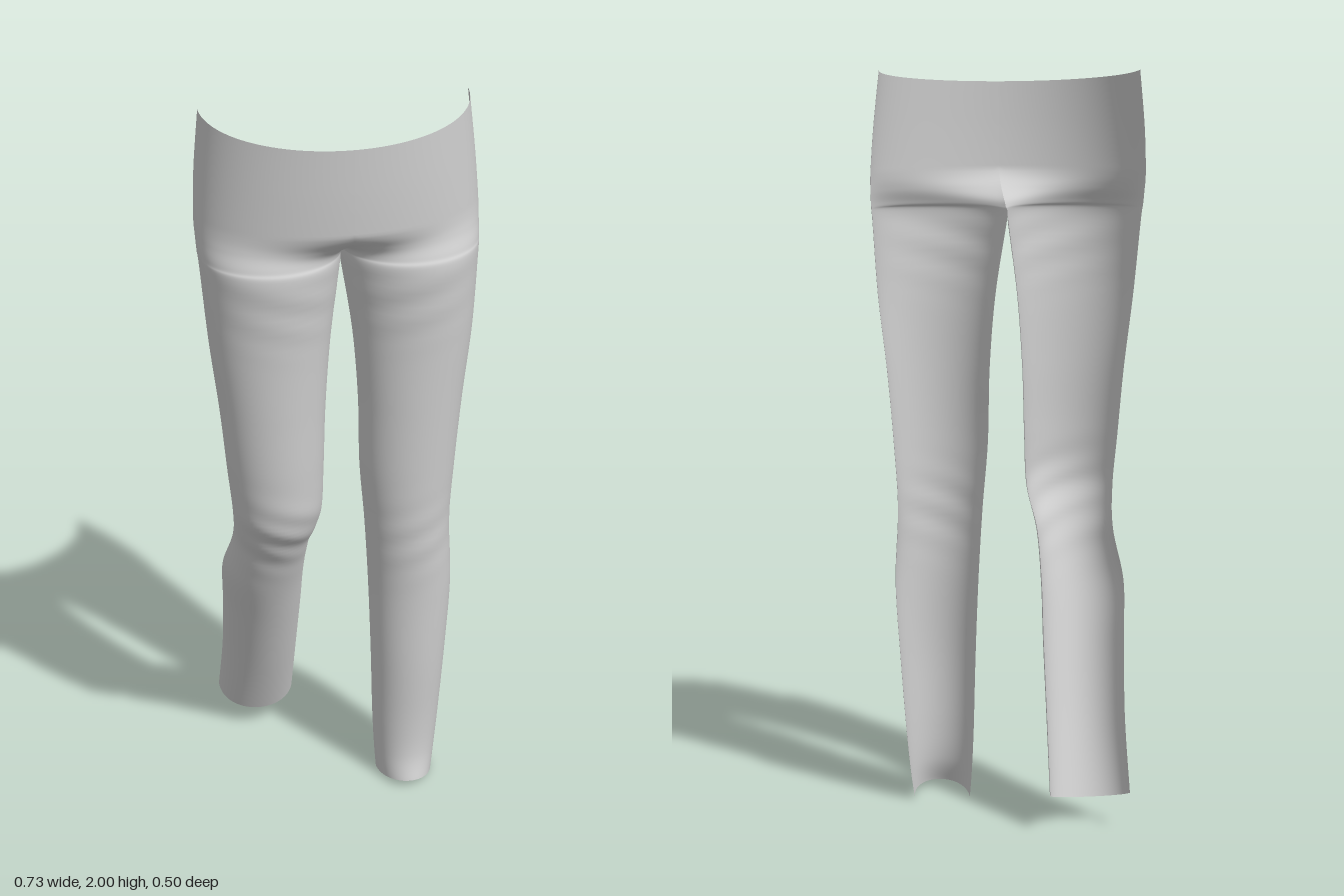
import * as THREE from 'three';

// Cross-sections, top to bottom:
// [outer x, inner x, edge y, edge z, front y, front z, hip blend]
// hip blend 1 = quarter arc ending on the centre seam, 0 = half arc around a leg
const hips = [
  [.345, 0, 2.00, 0, 1.965, .25, 1],
  [.36, 0, 1.85, .01, 1.84, .25, 1],
  [.367, 0, 1.73, .028, 1.73, .247, 1],
  [.366, 0, 1.68, .04, 1.68, .243, .75],
  [.364, 0, 1.64, .05, 1.64, .24, .3],
  [.36, .002, 1.60, .058, 1.60, .238, 0],
  [.345, .03, 1.40, .083, 1.40, .225, 0],
  [.322, .045, 1.20, .09, 1.20, .22, 0],
];
const straightLeg = [
  [.305, .05, 1.00, .09, 1.00, .216, 0],
  [.295, .065, .82, .088, .82, .21, 0],
  [.303, .077, .62, .086, .62, .2, 0],
  [.29, .085, .40, .09, .40, .198, 0],
  [.275, .09, .20, .093, .20, .192, 0],
  [.263, .095, .08, .098, .09, .198, 0],
  [.252, .1, .005, .103, .025, .22, 0],
];
const bentLeg = [
  [.305, .05, 1.02, .087, 1.02, .217, 0],
  [.29, .055, .88, .075, .88, .205, 0],
  [.282, .075, .77, .015, .75, .138, 0],
  [.3, .078, .64, -.055, .61, .077, 0],
  [.292, .075, .50, -.115, .46, .012, 0],
  [.284, .075, .30, -.185, .265, -.07, 0],
  [.288, .075, .105, -.25, .07, -.155, 0],
];

const COLS = 40, STEPS = 10;
const { lerp, clamp } = THREE.MathUtils;

// Smooth interpolation through the section table
function sectionAt(rows, u) {
  const i = Math.min(Math.floor(u), rows.length - 2), f = u - i;
  const at = k => rows[clamp(k, 0, rows.length - 1)];
  return rows[i].map((b, k) => {
    const a = at(i - 1)[k], c = at(i + 1)[k], d = at(i + 2)[k];
    return b + .5 * f * (c - a + f * (2 * a - 5 * b + 4 * c - d + f * (3 * (b - c) + d - a)));
  });
}

// Soft diagonal cloth folds, fading away from a centre height
function folds(y, t, centre, spread, amount) {
  const fade = Math.exp(-(((y - centre) / spread) ** 2));
  return amount * fade * Math.sin(Math.PI * t) * Math.sin(y * 70 + t * 9);
}

// One open half of the garment: hip front and the front of one leg
function clothPanel(name, rows, side, kneeY, kneeFold) {
  const positions = [], index = [];
  const count = (rows.length - 1) * STEPS;
  for (let r = 0; r <= count; r++) {
    const [xo, xi, ye, ze, yf, zf, blend] = sectionAt(rows, r / STEPS);
    const w = clamp(blend, 0, 1);
    for (let c = 0; c <= COLS; c++) {
      const t = c / COLS, a = t * Math.PI;
      const across = lerp((1 + Math.cos(a)) / 2, Math.cos(a / 2), w);
      const bulge = lerp(Math.max(0, Math.sin(a)) ** .9, Math.sin(a / 2), w);
      const x = xi + (xo - xi) * across;
      const y = ye + (yf - ye) * bulge;
      const z = ze + (zf - ze) * bulge
        + folds(y, t, kneeY, .1, kneeFold)
        + folds(y, t, 1.52, .09, .004) * t * (1 - w);
      positions.push(side * x, y, z);
    }
  }
  for (let r = 0; r < count; r++) {
    for (let c = 0; c < COLS; c++) {
      const a = r * (COLS + 1) + c, b = a + 1, d = a + COLS + 1, e = d + 1;
      if (side > 0) index.push(a, b, d, b, e, d);
      else index.push(a, d, b, b, d, e);
    }
  }
  const geometry = new THREE.BufferGeometry();
  geometry.setAttribute('position', new THREE.Float32BufferAttribute(positions, 3));
  geometry.setIndex(index);
  geometry.computeVertexNormals();
  const mesh = new THREE.Mesh(geometry, new THREE.MeshStandardMaterial({
    color: 0xcccccc, side: THREE.DoubleSide,
  }));
  mesh.name = name;
  return mesh;
}

export function createModel() {
  const trousers = new THREE.Group();
  trousers.name = 'trouserFront';
  trousers.add(
    clothPanel('leftTrouserPanel', [...hips, ...straightLeg], 1, .8, .002),
    clothPanel('rightTrouserPanel', [...hips, ...bentLeg], -1, .82, .005),
  );
  return trousers;
}
